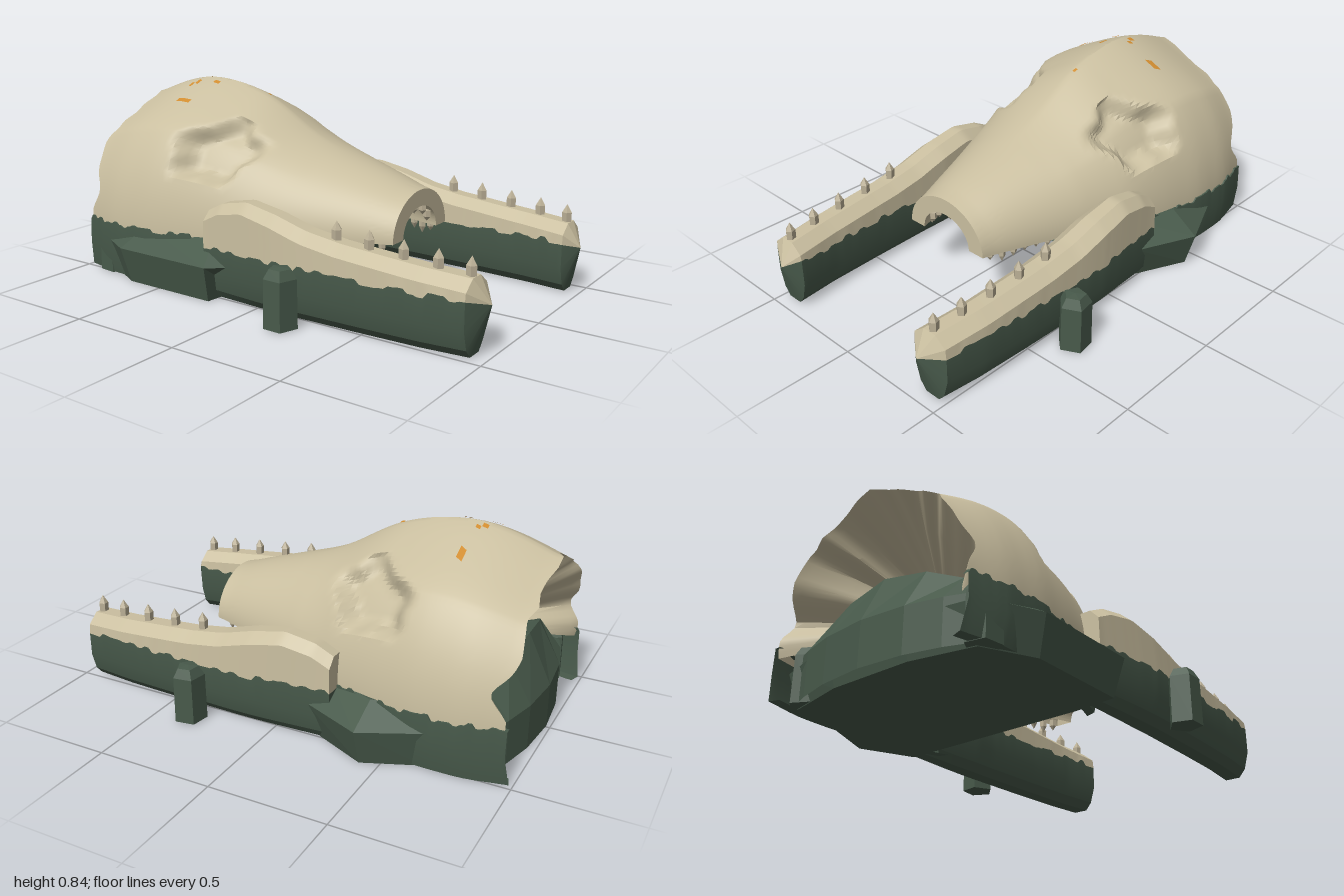
import * as THREE from 'three';
import { toCreasedNormals } from 'three/addons/utils/BufferGeometryUtils.js';

const mat = (name, color, flat = false) => new THREE.MeshStandardMaterial({ name, color, side: THREE.DoubleSide, flatShading: flat });

// Repeatable noise in -1..1
const jag = (n) => {
  const s = Math.sin(n * 127.1 + 31.7) * 43758.5453;
  return (s - Math.floor(s)) * 2 - 1;
};
const jagLine = (t) => THREE.MathUtils.lerp(jag(Math.floor(t)), jag(Math.floor(t) + 1), t - Math.floor(t));

// Linear lookup in a list of [key, value], keys descending
function lookup(list, k) {
  if (k >= list[0][0]) return list[0][1];
  for (let i = 1; i < list.length; i++) {
    const [a, va] = list[i - 1], [b, vb] = list[i];
    if (k >= b) return va + (vb - va) * (a - k) / (a - b);
  }
  return list[list.length - 1][1];
}

// Surface through rows of points; closed joins each row's end to its start
function loft(rows, closed, crease = 0.6) {
  const n = rows[0].length, pos = rows.flat(2), index = [];
  for (let r = 0; r < rows.length - 1; r++) {
    for (let i = 0; i < (closed ? n : n - 1); i++) {
      const a = r * n + i, b = r * n + (i + 1) % n;
      index.push(a, a + n, b, b, a + n, b + n);
    }
  }
  const g = new THREE.BufferGeometry();
  g.setAttribute('position', new THREE.Float32BufferAttribute(pos, 3));
  g.setIndex(index);
  return toCreasedNormals(g, crease);
}

// Skull profiles along z
const TOP = [[0.46, 0.46], [0.33, 0.505], [0.2, 0.545], [0.1, 0.575], [0, 0.61], [-0.1, 0.658], [-0.2, 0.722], [-0.3, 0.78], [-0.4, 0.815], [-0.5, 0.837], [-0.6, 0.848], [-0.7, 0.843], [-0.8, 0.82], [-0.9, 0.785], [-1, 0.745]];
const WIDTH = [[0.46, 0.21], [0.2, 0.3], [0, 0.375], [-0.2, 0.45], [-0.4, 0.495], [-0.6, 0.53], [-0.8, 0.53], [-1, 0.485]];
const BASE = [[0.46, 0.28], [0, 0.265], [-0.15, 0.22], [-1, 0.2]];
const smooth = (list, z) => (lookup(list, z - 0.05) + 2 * lookup(list, z) + lookup(list, z + 0.05)) / 4;

// Point on the skull: u runs -1..1 from side to side, inset is the wall thickness
function skullPoint(u, z, inset = 0) {
  const a = u * Math.PI / 2, b = lookup(BASE, z);
  const w = smooth(WIDTH, z) - inset, t = smooth(TOP, z) - inset * 0.88;
  const ridge = 0.06 * THREE.MathUtils.clamp((0.1 - z) * 2, 0, 1) * Math.max(0, Math.sin(4 * Math.min(Math.abs(a), 0.785)));
  let x = w * Math.sin(a);
  let y = b + (t - b) * (Math.cos(a) - ridge);
  // Sunken eye sockets
  const dz = (z + 0.35) / 0.2, dy = (y - 0.585) / 0.13;
  const r = Math.hypot(dz, dy) / (1 + 0.12 * Math.sin(5 * Math.atan2(dy, dz) + 1));
  const d = Math.abs(u) > 0.25 ? 1 - THREE.MathUtils.smoothstep(r, 0.5, 1) : 0;
  x -= Math.sign(x) * 0.08 * d;
  y -= 0.035 * d;
  return [x, y, z];
}

// Broken rear edge with a deep notch low on each side
const backZ = (u) => -0.965 + 0.03 * jagLine(u * 11 + 20) + 0.045 * Math.exp(-(((Math.abs(u) - 0.82) / 0.08) ** 2));

function skullGeometry() {
  const rows = [], us = Array.from({ length: 73 }, (_, i) => -1 + i / 36);
  // Mouth cavity, closed at its inner end
  rows.push(us.map(() => [0, 0.27, -0.1]));
  for (const z of [0, 0.15, 0.3, 0.46]) rows.push(us.map((u) => skullPoint(u, z, 0.08)));
  // Outside
  for (let j = 0; j <= 64; j++) rows.push(us.map((u) => skullPoint(u, THREE.MathUtils.lerp(0.46, backZ(u), j / 64))));
  // Folded hollow sinking in from the broken rear edge
  const rim = rows[rows.length - 1];
  for (const k of [0.06, 0.3, 0.65, 1]) {
    rows.push(rim.map(([x, y, z], i) => [x * (1 - k), y + (0.36 - y) * k, z + (-0.52 - z) * k + 0.16 * k * (1 - k) * jagLine(i / 6)]));
  }
  return loft(rows, false);
}

// Moss covering the lower skull wall on one side
function mossSkirt(side) {
  const rows = [];
  for (let j = 0; j <= 60; j++) {
    const z = -0.12 - 0.85 * j / 60, w = smooth(WIDTH, z) + 0.006;
    const top = 0.24 + 0.014 * jag(Math.floor(j / 2) + side * 50);
    rows.push([[w - 0.025, top, z], [w, top, z], [w + 0.005, 0.13, z], [w - 0.015, 0.01, z - 0.015], [w - 0.06, 0.01, z]]
      .map(([x, y, q]) => [x * side, y, q]));
  }
  return loft(rows, false);
}

// Jaw path
const JAW_X = [[1, 0.42], [0.94, 0.432], [0.75, 0.452], [0.5, 0.463], [0.2, 0.472], [0, 0.472], [-0.26, 0.466]];
const JAW_TOP = [[0.94, 0.305], [0.7, 0.322], [0.4, 0.347], [0.25, 0.37], [0.1, 0.412], [-0.05, 0.44], [-0.18, 0.415], [-0.26, 0.375]];

function jawGeometries(side) {
  const bone = [], moss = [], N = 60;
  for (let j = 0; j <= N; j++) {
    const z = 0.94 - 1.2 * j / N, t = lookup(JAW_TOP, z), c = lookup(JAW_X, z);
    const w = 0.086 - 0.02 * THREE.MathUtils.clamp((z - 0.1) * -3, 0, 1);
    const line = (k) => 0.232 + 0.013 * jag(Math.floor(j / 2) * 2 + k + side * 9);
    const l = line(200), r = line(300);
    const at = (u, y) => [side * (c + u * w), y, z];
    bone.push([at(-1, l), at(-0.95, t - 0.04), at(-0.36, t), at(0.36, t), at(0.95, t - 0.04), at(1, r)]);
    moss.push([at(-1, l), at(-1, 0.12), at(-0.75, 0.045), at(-0.4, 0.01), at(0.4, 0.01), at(0.75, 0.045), at(1, 0.12), at(1, r)]);
  }
  // Pointed front end and closed rear end
  for (const rows of [bone, moss]) {
    rows.unshift(rows[0].map(() => [side * 0.415, 0.205, 0.995]));
    rows.push(rows[0].map(() => [side * 0.466, 0.23, -0.262]));
  }
  return [loft(bone, false, 0.3), loft(moss, false, 0.3)];
}

export function createModel() {
  const model = new THREE.Group();
  const bone = mat('bone', 0xcabfa0), toothMat = mat('tooth', 0xbdb298, true);
  const moss = mat('moss', 0x485a4b), rock = mat('mossy rock', 0x485a4b, true);
  const lichen = mat('orange lichen', 0xd08c30);
  const add = (name, g, m, x = 0, y = 0, z = 0) => {
    const mesh = new THREE.Mesh(g, m);
    mesh.name = name;
    mesh.position.set(x, y, z);
    model.add(mesh);
    return mesh;
  };

  add('skull', skullGeometry(), bone);

  // Jaws, lower teeth and moss skirts
  const tooth = new THREE.LatheGeometry([[0, 0], [0.02, 0], [0.021, 0.05], [0, 0.085]].map((p) => new THREE.Vector2(...p)), 5);
  for (const side of [1, -1]) {
    const [jawBone, jawMoss] = jawGeometries(side);
    add('jawBone', jawBone, bone);
    add('jawMoss', jawMoss, moss);
    add('skullMoss', mossSkirt(side), moss);
    for (const z of [0.92, 0.795, 0.655, 0.51, 0.365])
      add('lowerTooth', tooth, toothMat, side * lookup(JAW_X, z), lookup(JAW_TOP, z) - 0.012, z);
    // Upper side teeth
    for (let i = 0; i < 8; i++) {
      const z = 0.4 - i * 0.05;
      const m = add('upperTooth', tooth, toothMat, side * (lookup(WIDTH, z) - 0.035), 0.285, z);
      m.scale.set(0.75, -0.7 - 0.15 * jag(i), 0.75);
    }
  }
  // Upper front teeth around the snout arch
  for (const a of [-1.05, -0.6, 0, 0.6, 1.05]) {
    const m = add('frontTooth', tooth, toothMat, 0.125 * Math.sin(a), 0.295 + 0.11 * Math.cos(a), 0.43);
    m.scale.set(0.8, -0.55, 0.8);
  }

  // Faceted mound under the skull, its front leaning forward over a smaller foot
  const plan = [[0.53, -0.15], [0.64, -0.42], [0.54, -0.66], [0.49, -0.9], [0.2, -0.96], [-0.2, -0.96], [-0.49, -0.9], [-0.6, -0.68], [-0.6, -0.2], [-0.4, 0.02], [0, 0.07], [0.4, 0.02]];
  const ring = (k, y, rough, front = 1) => plan.map(([x, z], i) => [x * k, y + rough * jag(i + 5), Math.min(front, -0.46 + (z + 0.46) * k)]);
  add('rockMound', loft([ring(0, 0.005, 0), ring(0.93, 0.005, 0, -0.2), ring(1, 0.165, 0.015), ring(0.8, 0.245, 0.015), ring(0, 0.27, 0)], true), rock);

  // Arched rock wall filling the lower part of the rear hollow
  const xs = [-0.47, -0.35, -0.2, 0, 0.2, 0.35, 0.47];
  const wallZ = (x) => -0.985 + 0.45 * x * x;
  add('rearRock', loft([
    xs.map((x) => [x, 0.01, wallZ(x)]),
    xs.map((x) => [x, 0.2, wallZ(x)]),
    xs.map((x) => [x, 0.41 - 0.75 * x * x, wallZ(x) + 0.1]),
    xs.map((x) => [x * 0.7, 0.25, -0.5]),
  ], false), rock);

  // Five-sided stone posts
  const post = new THREE.LatheGeometry([[0, 0], [0.07, 0], [0.068, 0.2], [0.045, 0.238], [0, 0.242]].map((p) => new THREE.Vector2(...p)), 5);
  for (const [x, z, turn] of [[-0.615, 0.205, 0.3], [0.61, 0.35, 1.1], [0.42, -0.86, 0.5], [-0.465, -0.85, 0.2]])
    add('stonePost', post, rock, x, 0.008, z).rotation.y = turn;

  // Lichen flecks lying on the crown: x, z, width, length
  const flecks = [[-0.205, -0.65, 0.022, 0.08], [-0.08, -0.715, 0.03, 0.02], [-0.06, -0.69, 0.035, 0.022], [0.03, -0.685, 0.022, 0.025], [0.045, -0.66, 0.018, 0.02], [-0.052, -0.585, 0.02, 0.035], [0.19, -0.648, 0.055, 0.028], [0.007, -0.325, 0.012, 0.02]];
  for (const [x, z, w, l] of flecks) {
    const rows = [-1, 0, 1].map((k) => [-1, 0, 1].map((i) => {
      const zz = z + k * l / 2, xx = x + i * w / 2 * (1 - 0.3 * k * i);
      const p = skullPoint(Math.asin(xx / smooth(WIDTH, zz)) * 2 / Math.PI, zz);
      return [p[0], p[1] + 0.005, p[2]];
    }));
    add('lichenFleck', loft(rows, false), lichen);
  }
  return model;
}
